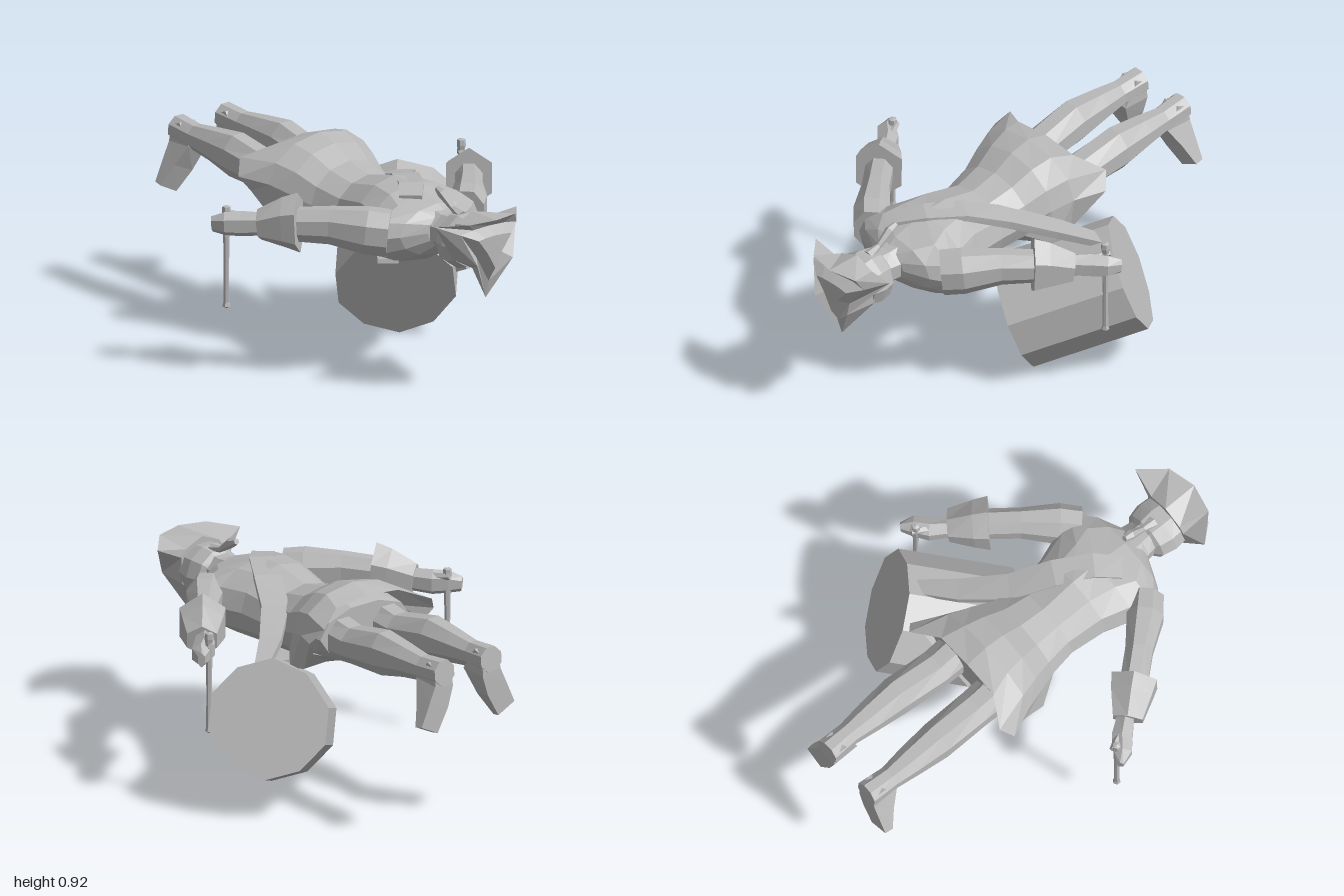
import * as THREE from 'three';

const V = (x, y, z) => new THREE.Vector3(x, y, z);
const grey = new THREE.MeshStandardMaterial({ color: 0xb8b8b8, flatShading: true, side: THREE.DoubleSide });
grey.name = 'plain grey';

// Skin a list of equal-length point rings, with optional end caps
function loft(rings, capStart = true, capEnd = true) {
  const pos = [];
  const tri = (...pts) => pts.forEach((p) => pos.push(p.x, p.y, p.z));
  const n = rings[0].length;
  const mid = (r) => r.reduce((m, p) => m.addScaledVector(p, 1 / n), V(0, 0, 0));
  const first = rings[0], last = rings[rings.length - 1];
  for (let j = 0; j < n; j++) {
    const k = (j + 1) % n;
    for (let i = 0; i + 1 < rings.length; i++) {
      tri(rings[i][j], rings[i][k], rings[i + 1][j]);
      tri(rings[i][k], rings[i + 1][k], rings[i + 1][j]);
    }
    if (capStart) tri(mid(first), first[k], first[j]);
    if (capEnd) tri(mid(last), last[j], last[k]);
  }
  const g = new THREE.BufferGeometry();
  g.setAttribute('position', new THREE.Float32BufferAttribute(pos, 3));
  g.computeVertexNormals();
  return g;
}

// Oval sections [x, y, z, halfWidth, halfHeight] set square to the path
function limb(sections, sides = 8, up = V(0, 1, 0)) {
  const c = sections.map((s) => V(s[0], s[1], s[2]));
  return loft(sections.map((s, i) => {
    const t = c[Math.min(i + 1, c.length - 1)].clone().sub(c[Math.max(i - 1, 0)]).normalize();
    const u = up.clone().cross(t).normalize(), v = t.clone().cross(u);
    return Array.from({ length: sides }, (_, j) => {
      const a = (j + 0.5) / sides * Math.PI * 2;
      const k = 1 / Math.cos(Math.PI / sides);
      return c[i].clone().addScaledVector(u, Math.cos(a) * s[3] * k).addScaledVector(v, Math.sin(a) * s[4] * k);
    });
  }));
}

// Sections across z: [z, top, bottom, halfWidth]
function zRing([z, top, bottom, w], sides) {
  return Array.from({ length: sides }, (_, j) => {
    const a = j / sides * Math.PI * 2;
    return V(Math.cos(a) * w, (top + bottom) / 2 + Math.sin(a) * (top - bottom) / 2, z);
  });
}

export function createModel() {
  const model = new THREE.Group();
  model.name = 'drummer';
  const add = (name, geometry) => {
    const m = new THREE.Mesh(geometry, grey);
    m.name = name;
    model.add(m);
    return m;
  };

  // Coat, open at the skirt, with a pointed corner on each side
  const coat = [
    [-0.305, 0.89, 0.62, 0.345], [-0.2, 0.92, 0.56, 0.285], [-0.1, 0.895, 0.53, 0.25],
    [0, 0.84, 0.52, 0.215], [0.13, 0.81, 0.505, 0.19], [0.3, 0.85, 0.5, 0.215],
    [0.43, 0.845, 0.505, 0.26], [0.52, 0.82, 0.525, 0.32], [0.6, 0.8, 0.57, 0.215], [0.65, 0.765, 0.62, 0.1],
  ].map((s) => zRing(s, 12));
  coat[0].forEach((p) => {
    const x = Math.abs(p.x);
    if (x > 0.2 && p.y > 0.7) p.z -= x > 0.32 ? 0.03 : 0.075;
  });
  // Front edges of the skirt hang lower
  for (const ring of [coat[1], coat[2]]) {
    for (const j of [7, 11]) {
      ring[j].x = 0.265 * Math.sign(ring[j].x);
      ring[j].y -= 0.07;
    }
  }
  add('coat', loft(coat, false, true));
  add('breechesSeat', loft([[-0.29, 0.85, 0.62, 0.25], [-0.2, 0.88, 0.58, 0.245], [-0.1, 0.87, 0.55, 0.225]].map((s) => zRing(s, 10))));

  // Head, neck, nose and pigtail
  add('neck', limb([[0, 0.7, 0.6, 0.1, 0.08], [0, 0.69, 0.66, 0.085, 0.08], [0, 0.69, 0.73, 0.075, 0.08]]));
  add('head', loft([
    [0.685, 0.75, 0.58, 0.07], [0.72, 0.79, 0.555, 0.115], [0.78, 0.8, 0.55, 0.13], [0.84, 0.79, 0.57, 0.125],
  ].map((s) => zRing(s, 10))));
  add('nose', limb([[0, 0.545, 0.74, 0.02, 0.02], [0, 0.56, 0.8, 0.01, 0.01]], 4));
  add('pigtail', limb([[0, 0.78, 0.76, 0.025, 0.02], [0, 0.8, 0.7, 0.012, 0.012],
    [0, 0.85, 0.63, 0.02, 0.02], [0, 0.865, 0.595, 0.012, 0.012]], 6));

  // Three-cornered hat with the brim folded up between its corners
  const rim = [[0.23, 0.8, 0.855], [0.13, 0.815, 0.965], [0, 0.82, 0.995], [-0.13, 0.815, 0.965],
    [-0.23, 0.8, 0.855], [-0.1, 0.628, 0.985], [0, 0.45, 0.92], [0.1, 0.628, 0.985]].map((p) => V(...p));
  const inner = (k, z) => rim.map((p) => V(p.x * k, 0.7 + (p.y - 0.7) * k, z));
  const band = rim.map((p) => {
    const d = V(p.x, p.y - 0.69, 0).setLength(0.13);
    return V(d.x, 0.69 + d.y, 0.83);
  });
  add('hat', loft([band, rim, inner(0.68, 0.94), inner(0.4, 0.985)]));

  for (const s of [1, -1]) {
    const side = s > 0 ? 'left' : 'right';
    const part = (name, sections, sides, up) =>
      add(side + name, limb(sections.map(([x, ...r]) => [x * s, ...r]), sides, up));
    // Arm, flared cuff and hand
    part('Sleeve', [[0.22, 0.69, 0.53, 0.075, 0.1], [0.285, 0.7, 0.465, 0.08, 0.1],
      [0.39, 0.715, 0.34, 0.06, 0.08], [0.5, 0.71, 0.21, 0.06, 0.07]]);
    part('Cuff', [[0.48, 0.718, 0.235, 0.1, 0.118], [0.52, 0.715, 0.185, 0.09, 0.1], [0.592, 0.7, 0.1, 0.065, 0.06]], 6);
    part('Hand', [[0.57, 0.7, 0.11, 0.035, 0.045], [0.635, 0.695, 0.03, 0.045, 0.05],
      [0.69, 0.695, -0.015, 0.04, 0.045], [0.725, 0.69, -0.06, 0.015, 0.03]], 6);
    part('Thumb', [[0.63, 0.725, 0.02, 0.015, 0.015], [0.665, 0.735, -0.05, 0.012, 0.012]], 5);
    // Leg running down to the heel
    part('Leg', [[0.125, 0.72, -0.15, 0.085, 0.11], [0.125, 0.715, -0.38, 0.08, 0.08], [0.135, 0.745, -0.6, 0.078, 0.095],
      [0.135, 0.755, -0.75, 0.065, 0.07], [0.135, 0.757, -0.87, 0.05, 0.055], [0.13, 0.77, -0.998, 0.055, 0.055]]);
    // Shoe with a flat sole, its toe turned outward
    part('Shoe', [[0.13, 0.8, -0.965, 0.045, 0.03], [0.132, 0.71, -0.932, 0.05, 0.066],
      [0.165, 0.62, -0.958, 0.055, 0.042], [0.215, 0.52, -0.98, 0.05, 0.02]], 4, V(0, 0, 1));
    // Drumstick
    const stick = add(side + 'Drumstick', new THREE.LatheGeometry([
      [0, 0], [0.018, 0.012], [0.013, 0.03], [0.012, 0.2], [0.016, 0.42], [0.02, 0.44], [0.018, 0.465], [0, 0.47],
    ].map((p) => new THREE.Vector2(...p)), 6));
    stick.position.set(s > 0 ? 0.658 : -0.668, s > 0 ? 0.325 : 0.3, -0.03);
  }

  // Ten-sided drum tilted at the left hip: half of the end points, then their opposites
  const half = [[0, 0.3], [0.048, 0.15], [0.155, 0.042], [0.278, 0], [0.37, 0.06]];
  const near = [...half, ...half.map(([x, y]) => [0.407 - x, 0.495 - y])]
    .map(([x, y]) => V(x, y, (0.64 * x + 0.365 * y - 0.173) / 0.68)).reverse();
  const far = near.map((p) => p.clone().add(V(0.338, 0.195, -0.365)));
  add('drum', loft([far, near]));

  // Drum sash over the back and across the chest
  add('backSash', limb([[-0.08, 0.815, 0.51, 0.05, 0.012], [0, 0.837, 0.42, 0.055, 0.012], [0.09, 0.82, 0.27, 0.06, 0.014],
    [0.185, 0.75, 0.1, 0.06, 0.018], [0.34, 0.685, -0.06, 0.048, 0.018], [0.51, 0.63, -0.2, 0.028, 0.015]], 4));
  add('chestSash', limb([[-0.2, 0.55, 0.5, 0.045, 0.01], [-0.08, 0.51, 0.36, 0.05, 0.01],
    [0.06, 0.5, 0.2, 0.05, 0.01], [0.17, 0.515, 0.04, 0.05, 0.01]], 4));

  return model;
}
